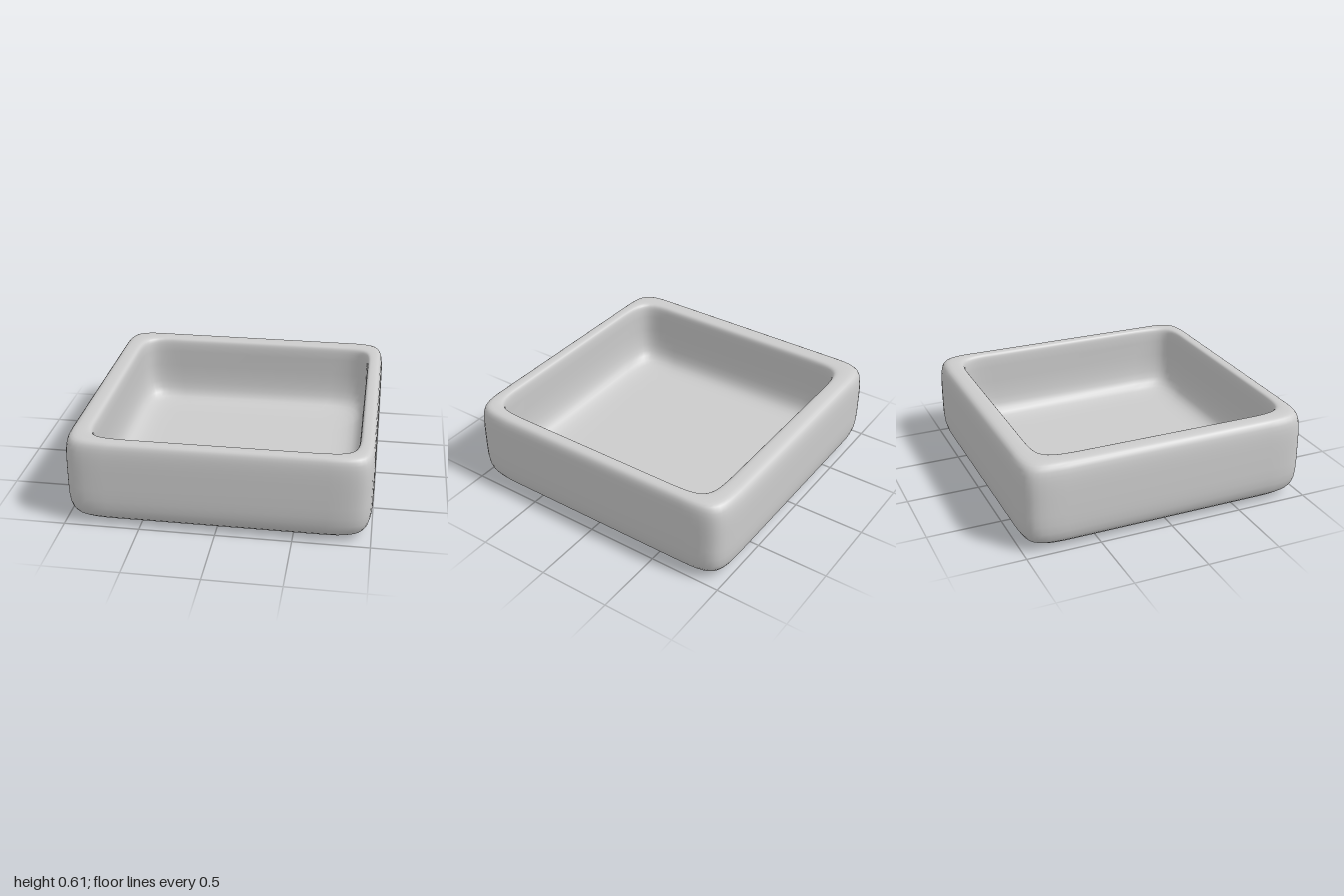
import * as THREE from 'three';

const V = (half, y, shift = 0) => new THREE.Vector3(half, y, shift);

// Softly rounded bend from a to b, pulled towards the sharp corner
const bend = (a, corner, b, n = 9) =>
  new THREE.CubicBezierCurve3(a, a.clone().lerp(corner, 0.9), b.clone().lerp(corner, 0.9), b).getPoints(n);

// Square cross-section with soft corners, as [x, z] pairs
function softSquare(half, n = 10) {
  const L = Math.min(0.28, half * 0.33), c = 0.1 * L;
  const points = [];
  for (let k = 0; k < 4; k++) {
    for (let i = 0; i <= n; i++) {
      const t = i / n, s = 1 - t;
      let x = half - (3 * s * t * t * c + t ** 3 * L);
      let z = half - (3 * t * s * s * c + s ** 3 * L);
      for (let r = 0; r < k; r++) [x, z] = [-z, x];
      points.push([x, z]);
    }
  }
  return points;
}

// Skin a profile of (half width, height, sideways shift) with soft squares
function skin(profile) {
  const position = [], index = [];
  const count = softSquare(1).length;
  for (const p of profile) {
    for (const [x, z] of softSquare(p.x)) {
      // the rim rises slightly at its corners
      const lift = p.y > 0.5 ? 0.01 * Math.abs(x * z) ** 2 * (p.y - 0.5) * 10 : 0;
      position.push(x + p.z, p.y + lift, z + p.z);
    }
  }
  for (let j = 0; j < profile.length - 1; j++) {
    for (let i = 0; i < count; i++) {
      const a = j * count + i, b = j * count + (i + 1) % count;
      index.push(a, a + count, b, b, a + count, b + count);
    }
  }
  const geometry = new THREE.BufferGeometry();
  geometry.setAttribute('position', new THREE.Float32BufferAttribute(position, 3));
  geometry.setIndex(index);
  geometry.computeVertexNormals();
  return geometry;
}

export function createModel() {
  const group = new THREE.Group();
  group.name = 'tray';
  const grey = new THREE.MeshStandardMaterial({ color: 0xcccccc });
  grey.name = 'grey';

  const s = 0.025; // the hollow sits slightly off centre
  const profile = [
    V(0, 0), V(0.6, 0),
    // underside edge and outer wall
    ...bend(V(0.7, 0), V(1, 0), V(1, 0.26)),
    // rim
    ...bend(V(1, 0.38), V(1, 0.602), V(0.92, 0.602, 0.015)),
    ...bend(V(0.91, 0.602, 0.018), V(0.865, 0.602, s), V(0.865, 0.5, s)),
    // inner wall and floor
    ...bend(V(0.87, 0.38, s), V(0.87, 0.1, s), V(0.62, 0.1, s)),
    V(0.5, 0.1, s), V(0, 0.1, s),
  ];
  const body = new THREE.Mesh(skin(profile), grey);
  body.name = 'trayBody';
  group.add(body);
  return group;
}
